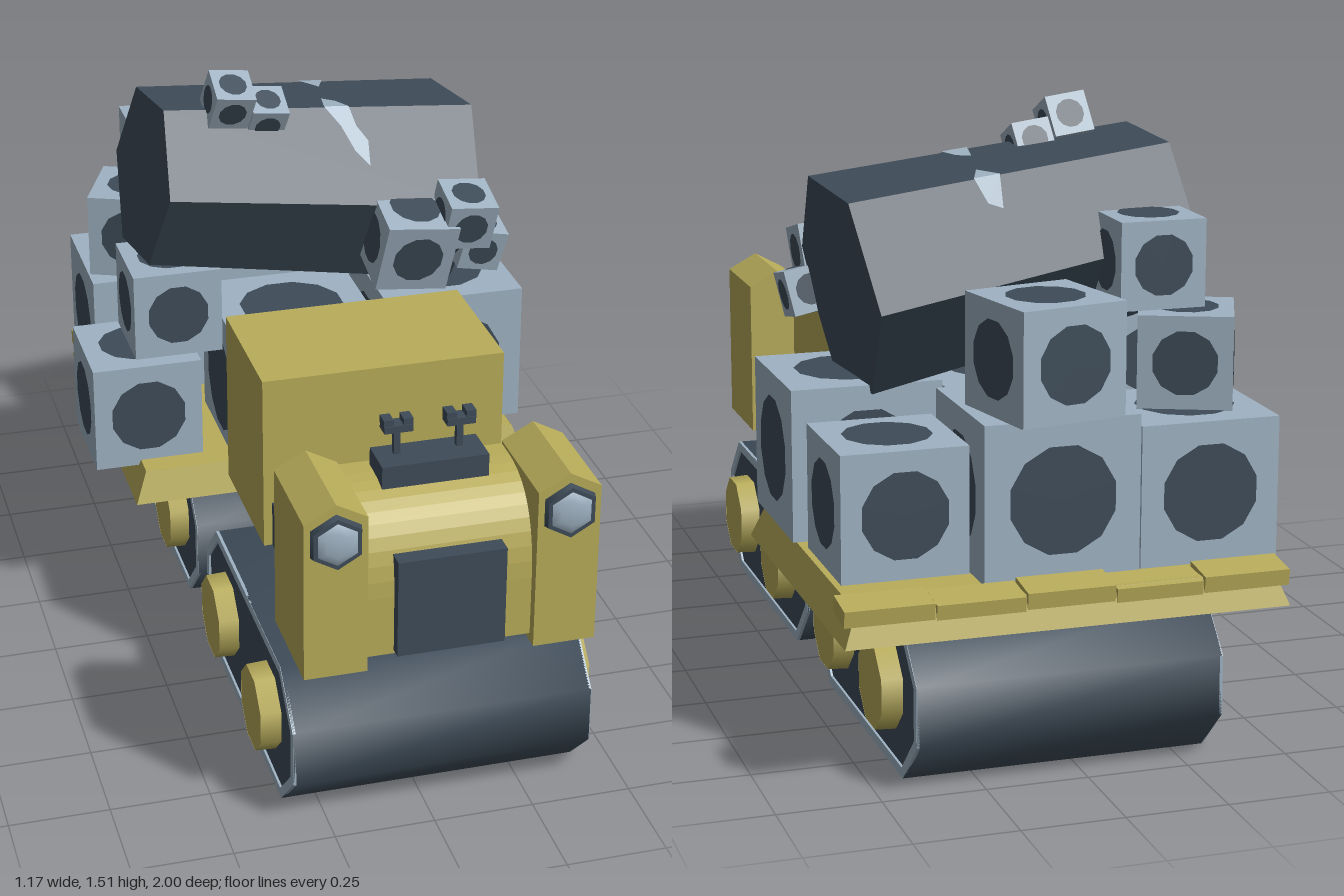
import * as THREE from 'three';

const mat = (name, color, extra = {}) => Object.assign(new THREE.MeshStandardMaterial({ color, ...extra }), { name });

export function createModel() {
  const gold = mat('gold paint', 0xb8ac5a, { side: THREE.DoubleSide });
  const dark = mat('dark slate', 0x3e4c59, { side: THREE.DoubleSide });
  const pale = mat('pale blue', 0xa0b3c3, { side: THREE.DoubleSide });
  const model = new THREE.Group();
  const CX = 0.04; // vehicle centre line

  const add = (parent, name, geo, material, x = 0, y = 0, z = 0) => {
    const m = new THREE.Mesh(geo, material);
    m.name = name;
    m.position.set(x, y, z);
    parent.add(m);
    return m;
  };
  // box given by its extents
  const box = (name, material, x0, x1, y0, y1, z0, z1) =>
    add(model, name, new THREE.BoxGeometry(x1 - x0, y1 - y0, z1 - z0), material, (x0 + x1) / 2, (y0 + y1) / 2, (z0 + z1) / 2);

  // ---- crawler tracks ----
  const octagon = (inset) => {
    const a = 0.453 - inset, b = 0.335 - inset * 0.4, h = 0.19 - inset, k = 0.073 - inset * 0.4;
    return [[-b, -h], [-a, -k], [-a, k], [-b, h], [b, h], [a, k], [a, -k], [b, -h]].map(p => new THREE.Vector2(...p));
  };
  const track = (zc) => {
    const g = new THREE.Group();
    g.name = 'crawlerTrack';
    g.position.set(CX, 0.195, zc);
    model.add(g);
    // belt is a strip wrapped round the octagon, open underneath
    const belt = new THREE.PlaneGeometry(0.75, 1, 1, 7), pos = belt.attributes.position, pts = octagon(0);
    for (let i = 0; i < pos.count; i++) {
      const p = pts[Math.floor(i / 2)];
      pos.setXYZ(i, pos.getX(i), p.y, p.x);
    }
    belt.computeVertexNormals();
    add(g, 'trackBelt', belt, dark);
    for (const s of [-1, 1]) {
      const rim = new THREE.Shape(octagon(0));
      rim.holes.push(new THREE.Path(octagon(0.024)));
      const side = new THREE.Group();
      side.name = 'trackSide';
      side.rotation.y = s * Math.PI / 2;
      side.position.x = s * 0.375;
      g.add(side);
      add(side, 'trackRim', new THREE.ExtrudeGeometry(rim, { depth: 0.008, bevelEnabled: false }), pale, 0, 0, -0.007);
      add(side, 'trackPanel', new THREE.ShapeGeometry(new THREE.Shape(octagon(0.02))), dark, 0, 0, -0.005);
      for (const z of [-0.218, 0.218]) {
        const hub = add(side, 'wheelHub', new THREE.CylinderGeometry(0.108, 0.112, 0.075, 8, 1, true), gold, z, 0.008, 0.009);
        hub.rotation.set(Math.PI / 2, Math.PI / 8, 0);
        add(side, 'hubCap', new THREE.CircleGeometry(0.108, 8, Math.PI / 8), gold, z, 0.008, 0.046);
      }
    }
  };
  track(0.478);
  track(-0.543);

  // ---- tractor ----
  box('engineBody', gold, -0.272, 0.348, 0.48, 0.94, 0.022, 0.405);
  box('chassis', dark, -0.25, 0.33, 0.48, 0.6, 0.4, 0.72);
  // rounded nose: side profile extruded across
  const nose = new THREE.Shape();
  nose.moveTo(0.7, 0.465);
  nose.lineTo(0.945, 0.465);
  nose.lineTo(0.945, 0.62);
  nose.bezierCurveTo(0.945, 0.77, 0.88, 0.85, 0.755, 0.852);
  nose.lineTo(0.7, 0.852);
  const noseMesh = add(model, 'nose', new THREE.ExtrudeGeometry(nose, { depth: 0.44, bevelEnabled: false, curveSegments: 10 }), gold, 0.26, 0, 0);
  noseMesh.rotation.y = -Math.PI / 2;
  noseMesh.scale.z = 1;
  box('grille', dark, -0.093, 0.172, 0.474, 0.727, 0.93, 0.975);
  box('controlPanel', dark, -0.09, 0.172, 0.838, 0.898, 0.72, 0.825);
  for (const x of [-0.037, 0.117]) {
    box('leverStem', dark, x - 0.008, x + 0.008, 0.89, 0.965, 0.752, 0.768);
    box('leverHandle', dark, x - 0.035, x + 0.035, 0.96, 0.978, 0.74, 0.78);
    for (const d of [-0.024, 0.024]) box('leverKnob', dark, x + d - 0.012, x + d + 0.012, 0.975, 0.994, 0.742, 0.778);
  }
  // gabled pillars with hexagonal lamps
  for (const s of [-1, 1]) {
    const x = CX + s * 0.282;
    const gable = new THREE.Shape([[-0.077, 0.445], [0.077, 0.445], [0.077, 0.86], [0, 0.902], [-0.077, 0.86]].map(p => new THREE.Vector2(...p)));
    add(model, 'pillar', new THREE.ExtrudeGeometry(gable, { depth: 0.27, bevelEnabled: false }), gold, x, 0, 0.702);
    const ring = add(model, 'lampRing', new THREE.CylinderGeometry(0.066, 0.072, 0.022, 6), dark, x, 0.807, 0.978);
    ring.rotation.x = Math.PI / 2;
    const lens = add(model, 'lampLens', new THREE.SphereGeometry(0.066, 6, 3, 0, Math.PI * 2, 0, Math.PI / 2), pale, x, 0.807, 0.977);
    lens.rotation.set(Math.PI / 2, Math.PI / 6, 0);
    lens.scale.y = 0.34;
  }

  // ---- cargo bed: flared skirt, floor and edge planks ----
  const skirt = new THREE.CylinderGeometry(0.94, 1, 1, 4, 1, true).toNonIndexed();
  skirt.rotateY(Math.PI / 4);
  skirt.computeVertexNormals();
  const r2 = Math.SQRT2 / 2;
  add(model, 'bedSkirt', skirt, gold, CX, 0.417, -0.53).scale.set(0.543 / r2, 0.082, 0.468 / r2);
  box('bedFloor', gold, CX - 0.51, CX + 0.51, 0.42, 0.458, -0.97, -0.09);
  for (let i = 0; i < 5; i++) {
    const x = -0.505 + i * 0.218, lift = [0.008, 0, 0.01, 0.003, 0.009][i];
    const plank = box('rearPlank', gold, x, x + 0.214, 0.42 + lift, 0.46 + lift, -0.985, -0.89);
    plank.rotation.x = -0.12;
  }
  for (const x of [-0.2, 0.28]) box('bedJoist', gold, x - 0.04, x + 0.04, 0.39, 0.425, -0.97, -0.09);

  // ---- crates with a round dark spot on every face ----
  const spots = [[0, 0], [0, Math.PI / 2], [0, Math.PI], [0, -Math.PI / 2], [-Math.PI / 2, 0], [Math.PI / 2, 0]];
  const crate = (x, y, z, size, ry = 0, rz = 0, rx = 0) => {
    const g = new THREE.Group();
    g.name = 'crate';
    g.position.set(x, y, z);
    g.rotation.set(rx, ry, rz);
    model.add(g);
    add(g, 'crateBox', new THREE.BoxGeometry(size, size, size), pale);
    for (const [ax, ay] of spots) {
      const spot = add(g, 'crateSpot', new THREE.CircleGeometry(size * 0.35, 12, Math.PI / 12), dark);
      spot.rotation.set(ax, ay, 0);
      spot.translateZ(size / 2 + 0.002);
    }
  };
  // lower layer
  crate(-0.445, 0.589, -0.302, 0.29);
  crate(0.387, 0.668, -0.3, 0.377);
  crate(-0.028, 0.621, -0.248, 0.4);
  crate(0.386, 0.622, -0.654, 0.31);
  crate(0.028, 0.65, -0.695, 0.383);
  crate(-0.34, 0.637, -0.712, 0.346);
  // upper layer
  crate(0.045, 0.982, -0.8, 0.273, 0.2);
  crate(-0.36, 0.925, -0.665, 0.228, -0.39);
  crate(-0.287, 1.15, -0.59, 0.215);
  crate(-0.35, 0.857, -0.31, 0.235);
  // small ones clinging to the drum
  crate(-0.2, 1.435, -0.22, 0.105, 0, -0.14, 0.45);
  crate(-0.103, 1.38, -0.24, 0.098, 0, -0.14, 0.45);
  crate(0.25, 1.048, -0.105, 0.195, 0, -0.12, 0.25);
  crate(0.39, 1.115, -0.065, 0.13, 0, -0.1, 0.25);
  crate(0.44, 1.02, -0.105, 0.115, 0, -0.2, 0.2);

  // ---- tilted six-sided drum ----
  const a = new THREE.Vector3(-0.41, 1.21, -0.315), b = new THREE.Vector3(0.425, 1.085, -0.385);
  const len = a.distanceTo(b), rA = 0.238, rB = 0.278;
  const drum = new THREE.Group();
  drum.name = 'drum';
  drum.position.copy(a).add(b).multiplyScalar(0.5);
  drum.quaternion.setFromUnitVectors(new THREE.Vector3(0, 1, 0), b.clone().sub(a).normalize());
  model.add(drum);
  const shell = new THREE.CylinderGeometry(rB, rA, len, 6).toNonIndexed();
  shell.computeVertexNormals();
  add(drum, 'drumShell', shell, dark);
  // pale chips: outline (along, across) laid on one flat side
  const chip = (face, outline) => {
    const geo = new THREE.ShapeGeometry(new THREE.Shape(outline.map(p => new THREE.Vector2(...p))));
    const p = geo.attributes.position, corner = (k) => -k * Math.PI / 3;
    for (let i = 0; i < p.count; i++) {
      const t = p.getX(i), s = p.getY(i), r = (rA + (rB - rA) * t) + 0.004;
      const c0 = corner(face), c1 = corner(face + 1);
      p.setXYZ(i, r * (Math.sin(c0) * (1 - s) + Math.sin(c1) * s), (t - 0.5) * len, r * (Math.cos(c0) * (1 - s) + Math.cos(c1) * s));
    }
    geo.computeVertexNormals();
    add(drum, 'paintChip', geo, pale);
  };
  chip(0, [[0.51, 1], [0.59, 1], [0.61, 0.8], [0.645, 0.65], [0.645, 0.4], [0.6, 0.55], [0.56, 0.8]]);
  chip(1, [[0.51, 0], [0.59, 0], [0.57, 0.2], [0.535, 0.3]]);
  chip(1, [[0.54, 1], [0.62, 1], [0.58, 0.75]]);
  chip(2, [[0.54, 0], [0.62, 0], [0.6, 0.25], [0.56, 0.32]]);
  return model;
}
